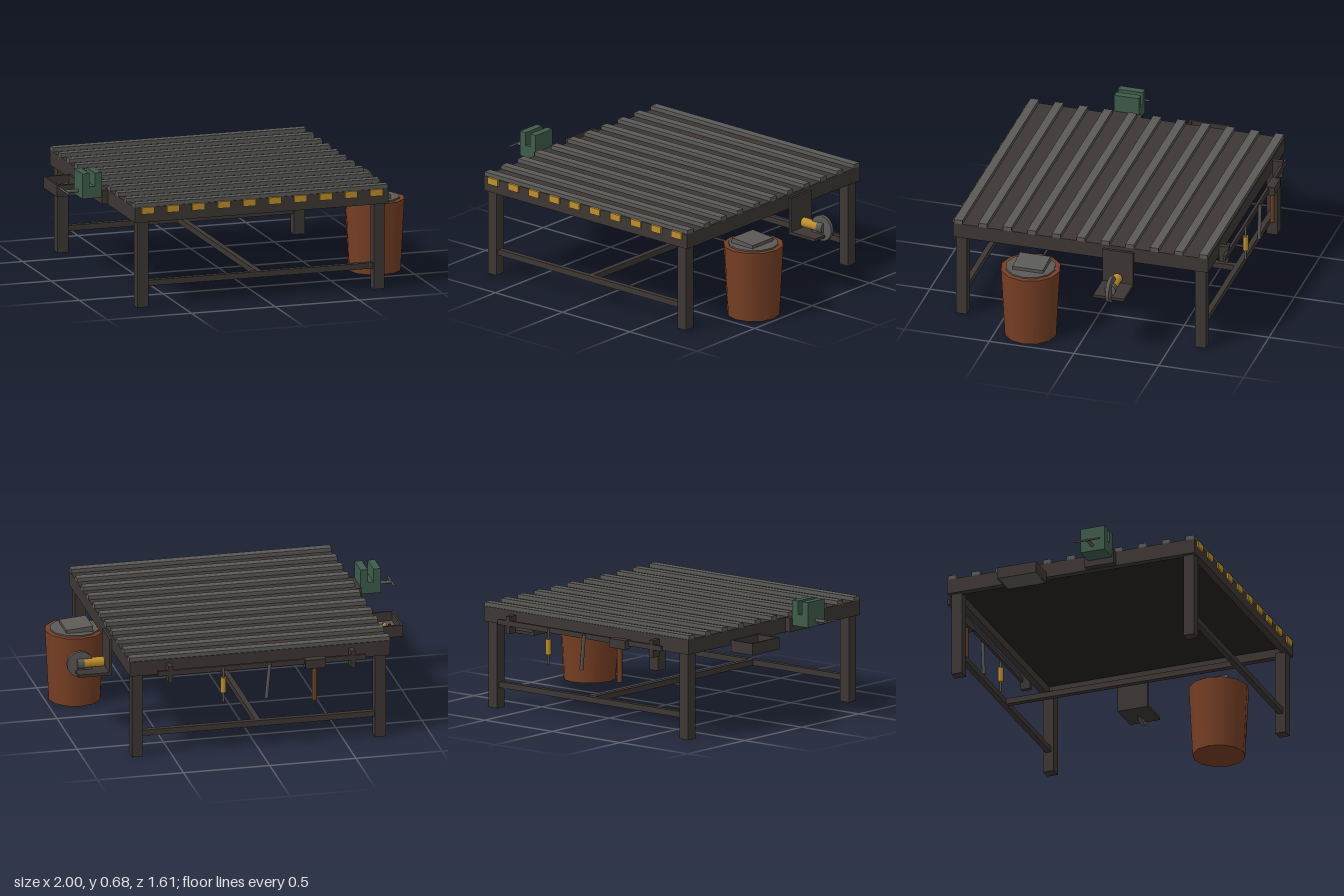
import * as THREE from 'three';

const mat = (color) => new THREE.MeshStandardMaterial({ color });

export function createModel() {
  const model = new THREE.Group();
  const iron = mat(0x3d3734), steel = mat(0x5b5a57), yellow = mat(0xc0902c);
  const rust = mat(0x773f24), green = mat(0x3f5c4b), wood = mat(0x6a4022), black = mat(0x252220);

  function add(name, geometry, material, x = 0, y = 0, z = 0) {
    const mesh = new THREE.Mesh(geometry, material);
    mesh.name = name;
    mesh.position.set(x, y, z);
    model.add(mesh);
    return mesh;
  }
  // box given by its minimum and maximum on each axis
  function box(name, material, x0, x1, y0, y1, z0, z1) {
    return add(name, new THREE.BoxGeometry(x1 - x0, y1 - y0, z1 - z0), material,
      (x0 + x1) / 2, (y0 + y1) / 2, (z0 + z1) / 2);
  }
  // rod between two points
  function rod(name, material, a, b, r, sides = 8) {
    const p = new THREE.Vector3(...a), d = new THREE.Vector3(...b).sub(p);
    const mesh = add(name, new THREE.CylinderGeometry(r, r, d.length(), sides), material);
    mesh.position.copy(p).addScaledVector(d, 0.5);
    mesh.quaternion.setFromUnitVectors(new THREE.Vector3(0, 1, 0), d.normalize());
    return mesh;
  }

  // Table top: plate, edge rails and raised slats
  const X0 = -0.765, X1 = 0.745, Z0 = -0.715, Z1 = 0.79;
  box('deckPlate', iron, X0 + 0.04, X1 - 0.04, 0.55, 0.583, Z0 + 0.04, Z1 - 0.04);
  box('deckUnderside', black, X0 + 0.04, X1 - 0.04, 0.546, 0.55, Z0 + 0.04, Z1 - 0.04);
  box('frontRail', iron, X0, X1, 0.496, 0.583, Z1 - 0.04, Z1);
  box('backRail', iron, X0, X1, 0.496, 0.583, Z0, Z0 + 0.04);
  box('rightRail', iron, X0, X0 + 0.04, 0.496, 0.583, Z0 + 0.04, Z1 - 0.04);
  box('leftRail', iron, X1 - 0.04, X1, 0.496, 0.583, Z0 + 0.04, Z1 - 0.04);
  for (let i = 0; i < 11; i++) {
    const z = -0.685 + i * 0.1445;
    box('slat', steel, X0, X1, 0.58, 0.606, z - 0.025, z + 0.025);
  }
  // Hazard blocks along the front edge
  for (let i = 0; i < 10; i++) {
    const x = -0.691 + i * 0.1516;
    box('hazardBlock', yellow, x - 0.037, x + 0.037, 0.545, 0.584, Z1 - 0.005, 0.8);
  }

  // Legs and H-shaped stretchers
  for (const x of [-0.714, 0.695])
    for (const z of [-0.664, 0.746])
      box('leg', iron, x - 0.032, x + 0.032, 0, 0.5, z - 0.032, z + 0.032);
  for (const z of [-0.664, 0.746])
    box('crossStretcher', iron, -0.685, 0.665, 0.118, 0.152, z - 0.016, z + 0.016);
  box('middleStretcher', iron, -0.026, 0.006, 0.118, 0.152, -0.65, 0.73);

  // Tool rack on the back
  for (const x of [-0.538, 0.521])
    box('rackBracket', iron, x - 0.014, x + 0.014, 0.46, 0.56, -0.772, Z0);
  box('rackBar', iron, -0.612, 0.596, 0.505, 0.535, -0.773, -0.757);
  // Hammer
  box('hammerHead', iron, -0.372, -0.254, 0.488, 0.54, -0.806, -0.755);
  rod('hammerHandle', wood, [-0.312, 0.29, -0.778], [-0.312, 0.5, -0.778], 0.015);
  // Punch and screwdriver
  rod('punch', steel, [-0.031, 0.325, -0.782], [-0.05, 0.53, -0.782], 0.011, 6);
  rod('screwdriverShaft', steel, [0.217, 0.322, -0.778], [0.217, 0.53, -0.778], 0.007);
  rod('screwdriverHandle', yellow, [0.217, 0.382, -0.778], [0.217, 0.47, -0.778], 0.017);

  // Vise on the right side
  box('viseMount', iron, -0.8, X0, 0.5, 0.582, 0.135, 0.312);
  box('viseBody', green, -0.915, -0.797, 0.537, 0.605, 0.155, 0.302);
  box('viseOuterJaw', green, -0.915, -0.872, 0.605, 0.683, 0.155, 0.302);
  box('viseInnerJaw', green, -0.84, -0.797, 0.605, 0.683, 0.155, 0.302);
  rod('viseScrew', steel, [-0.992, 0.57, 0.228], [-0.91, 0.57, 0.228], 0.01);
  rod('viseHandle', steel, [-0.994, 0.57, 0.152], [-0.994, 0.57, 0.303], 0.006);

  // Open parts tray on the right side
  box('trayFloor', steel, -0.925, -0.77, 0.457, 0.47, -0.345, -0.11);
  for (const z of [-0.34, -0.115])
    box('trayEndWall', iron, -0.927, -0.768, 0.457, 0.525, z - 0.006, z + 0.006);
  for (const x of [-0.921, -0.774])
    box('traySideWall', iron, x - 0.006, x + 0.006, 0.457, 0.525, -0.335, -0.12);
  const bolts = [[-0.89, -0.29], [-0.837, -0.29], [-0.9, -0.235], [-0.88, -0.21], [-0.85, -0.19], [-0.815, -0.17]];
  for (const [x, z] of bolts) rod('bolt', iron, [x, 0.468, z], [x, 0.485, z], 0.01, 6);
  rod('trayTool', yellow, [-0.858, 0.483, -0.2], [-0.82, 0.483, -0.265], 0.012);

  // Bracket and grinder on the left side
  box('grinderBackplate', iron, X1, 0.76, 0.343, 0.56, -0.277, -0.095);
  box('grinderShelf', iron, X1, 0.94, 0.343, 0.36, -0.277, -0.095);
  rod('grinderBody', yellow, [0.775, 0.398, -0.19], [0.9, 0.398, -0.19], 0.03);
  rod('grinderHead', steel, [0.89, 0.398, -0.19], [0.93, 0.398, -0.19], 0.034);
  rod('grinderWheel', steel, [0.912, 0.395, -0.2], [0.912, 0.395, -0.18], 0.076, 16);

  // Scrap barrel with its fill and a loose block
  const profile = [[0, 0], [0.15, 0], [0.172, 0.416], [0.143, 0.416], [0.143, 0.39]]
    .map(([r, y]) => new THREE.Vector2(r, y));
  // each wall segment is its own lathe so the rims stay sharp
  for (let i = 0; i < profile.length - 1; i++)
    add('barrel', new THREE.LatheGeometry([profile[i], profile[i + 1]], 12, Math.PI / 2), rust, 0.826, 0, 0.307);
  add('barrelFill', new THREE.CylinderGeometry(0.143, 0.143, 0.035, 12), steel, 0.826, 0.407, 0.307);
  const scrap = add('scrapBlock', new THREE.BoxGeometry(0.155, 0.04, 0.18), steel, 0.817, 0.43, 0.305);
  scrap.rotation.z = -0.08;

  return model;
}
